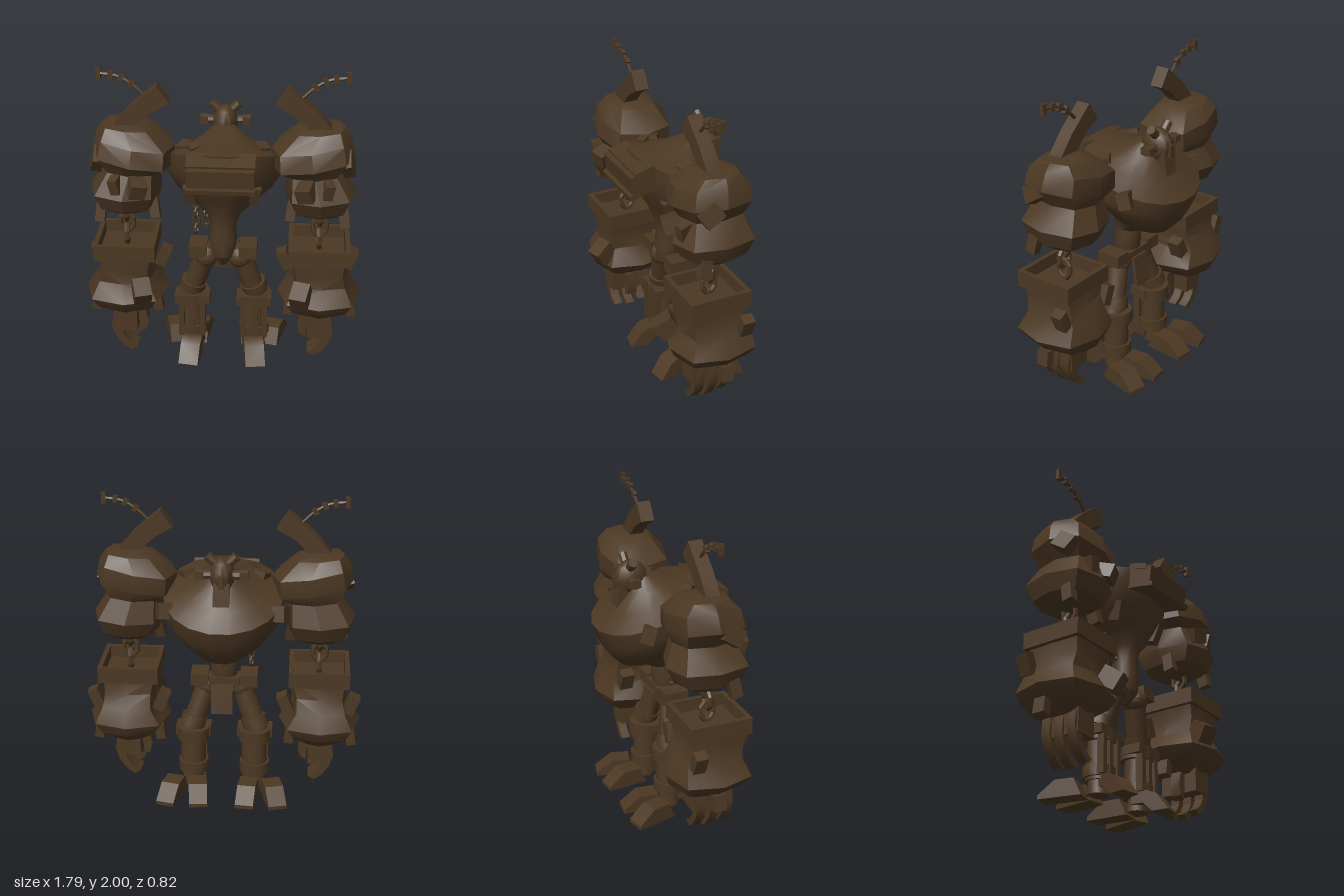
import * as THREE from 'three';
import { toCreasedNormals } from 'three/addons/utils/BufferGeometryUtils.js';

const bronze = new THREE.MeshStandardMaterial({ color: 0x4c3823 });
bronze.name = 'dark bronze';

// Adds a part with its transform baked into the geometry
function add(group, name, geo, pos = [0, 0, 0], rot = [0, 0, 0]) {
  const m = new THREE.Matrix4().makeRotationFromEuler(new THREE.Euler(...rot));
  m.setPosition(...pos);
  const g = toCreasedNormals(geo.applyMatrix4(m), 0.55);
  const mesh = new THREE.Mesh(g, bronze);
  mesh.name = name;
  group.add(mesh);
}
const box = (w, h, d) => new THREE.BoxGeometry(w, h, d);
const cyl = (r0, r1, h, n = 12) => new THREE.CylinderGeometry(r0, r1, h, n);

// Mirrors a whole side across x, keeping faces outward
function mirrored(group, name) {
  const out = new THREE.Group();
  out.name = name;
  for (const mesh of group.children) {
    const g = mesh.geometry.clone().scale(-1, 1, 1);
    for (const a of [g.attributes.position, g.attributes.normal]) {
      for (let i = 0; i < a.count; i += 3) {
        const p = [a.getX(i), a.getY(i), a.getZ(i)];
        a.setXYZ(i, a.getX(i + 1), a.getY(i + 1), a.getZ(i + 1));
        a.setXYZ(i + 1, ...p);
      }
    }
    g.deleteAttribute('uv');
    const copy = new THREE.Mesh(g, bronze);
    copy.name = mesh.name;
    out.add(copy);
  }
  return out;
}

// Closed loft, rings upward: [y, cx, cz, rx, rz, slopeX, slopeZ, roundness]
function loft(rings, n, roundness = 1) {
  const pos = [], idx = [];
  const pw = (v, e) => Math.abs(v) < 1e-6 ? 0 : Math.sign(v) * Math.pow(Math.abs(v), e);
  for (const [y, cx, cz, rx, rz, sx = 0, sz = 0, e = roundness] of rings) {
    for (let j = 0; j < n; j++) {
      const t = (j / n) * Math.PI * 2;
      const x = rx * pw(Math.cos(t), e), z = rz * pw(Math.sin(t), e);
      pos.push(cx + x, y + x * sx + z * sz, cz + z);
    }
  }
  const last = rings.length - 1, c0 = pos.length / 3;
  for (const r of [rings[0], rings[last]]) pos.push(r[1], r[0], r[2]);
  for (let j = 0; j < n; j++) {
    const k = (j + 1) % n;
    for (let i = 0; i < last; i++) {
      const a = i * n + j, b = i * n + k;
      idx.push(a, a + n, b, b, a + n, b + n);
    }
    idx.push(c0, j, k, c0 + 1, last * n + k, last * n + j);
  }
  const g = new THREE.BufferGeometry();
  g.setAttribute('position', new THREE.Float32BufferAttribute(pos, 3));
  g.setIndex(idx);
  return g;
}

// Outline in the front plane, extruded around z = 0
function slab(points, depth) {
  const s = new THREE.Shape(points.map(p => new THREE.Vector2(...p)));
  return new THREE.ExtrudeGeometry(s, { depth, bevelEnabled: false }).translate(0, 0, -depth / 2);
}
// Straight rod between two points
function rod(group, name, a, b, r0, r1, n = 12) {
  const A = new THREE.Vector3(...a), d = new THREE.Vector3(...b).sub(A);
  const e = new THREE.Euler().setFromQuaternion(
    new THREE.Quaternion().setFromUnitVectors(new THREE.Vector3(0, 1, 0), d.clone().normalize()));
  add(group, name, cyl(r1, r0, d.length(), n), A.addScaledVector(d, 0.5).toArray(), [e.x, e.y, e.z]);
}
const link = (r, tube) => new THREE.TorusGeometry(r, tube, 6, 8).rotateZ(Math.PI / 8).scale(0.85, 1.15, 1);

function buildArm() {
  const g = new THREE.Group();
  g.name = 'leftArm';
  // Boxy octagonal shoulder shell, pinched in the middle, outer side raised
  add(g, 'shoulder', loft([
    [1.07, 0.61, 0.06, 0.11, 0.12],
    [1.12, 0.61, 0.06, 0.185, 0.205, 0.02],
    [1.22, 0.61, 0.06, 0.225, 0.255, 0.04],
    [1.36, 0.57, 0.055, 0.175, 0.195, 0.05],
    [1.43, 0.56, 0.06, 0.255, 0.235, 0.18],
    [1.54, 0.545, 0.05, 0.245, 0.22, 0.18],
    [1.63, 0.59, 0.045, 0.16, 0.145, 0.08],
    [1.65, 0.6, 0.045, 0.07, 0.08]], 8, 0.72));
  add(g, 'shoulderHorn', slab([[0.325, 1.795], [0.44, 1.73], [0.53, 1.64], [0.56, 1.55], [0.7, 1.55],
    [0.665, 1.65], [0.565, 1.765], [0.4, 1.905]], 0.09), [0, 0, 0.075]);
  // Thin notched antenna
  const curve = new THREE.CatmullRomCurve3([[0.47, 1.82], [0.555, 1.9], [0.645, 1.95], [0.755, 1.965]]
    .map(p => new THREE.Vector3(p[0], p[1], 0.075)));
  add(g, 'antenna', new THREE.TubeGeometry(curve, 12, 0.011, 6));
  for (const t of [0.35, 0.58, 0.78]) {
    const p = curve.getPoint(t), d = curve.getTangent(t);
    add(g, 'antennaNotch', box(0.03, 0.045, 0.025), p.toArray(), [0, 0, Math.atan2(d.y, d.x)]);
  }
  add(g, 'antennaTip', box(0.028, 0.07, 0.025), [0.755, 1.965, 0.075]);
  // Studs around the shoulder
  for (const [x, y, z, w, h, d, rx, ry, rz] of [
    [0.52, 1.3, 0.27, 0.1, 0.1, 0.12, 0.3, -0.3, 0.3], [0.65, 1.31, 0.25, 0.06, 0.1, 0.1, 0.2, 0.2, -0.2],
    [0.77, 1.44, 0.15, 0.07, 0.11, 0.13, 0.6, 0, 0.3], [0.76, 1.09, 0.18, 0.06, 0.12, 0.07, -0.2, 0, 0.12],
    [0.43, 1.1, 0.12, 0.06, 0.13, 0.07, -0.2, 0, -0.15]])
    add(g, 'shoulderStud', box(w, h, d), [x, y, z], [rx, ry, rz]);
  // Chain joining shoulder and forearm
  for (const [y, turn] of [[1.05, 1], [0.97, 0], [0.89, 1]])
    add(g, 'armChain', link(0.055, 0.018), [0.615, y, 0.075], [0, turn * Math.PI / 2, 0]);
  // Forearm with an open square collar
  const shape = new THREE.Shape([[-0.195, -0.2], [0.195, -0.2], [0.195, 0.2], [-0.195, 0.2]].map(p => new THREE.Vector2(...p)));
  shape.holes.push(new THREE.Path([[-0.165, -0.17], [-0.165, 0.17], [0.165, 0.17], [0.165, -0.17]].map(p => new THREE.Vector2(...p))));
  add(g, 'forearmCollar', new THREE.ExtrudeGeometry(shape, { depth: 0.105, bevelEnabled: false }),
    [0.615, 0.785, 0.085], [-Math.PI / 2, 0, 0]);
  add(g, 'forearm', loft([
    [0.355, 0.63, 0.06, 0.1, 0.14],
    [0.43, 0.625, 0.065, 0.215, 0.24],
    [0.5, 0.625, 0.07, 0.268, 0.272],
    [0.61, 0.63, 0.055, 0.185, 0.215, 0, 0, 0.5],
    [0.7, 0.62, 0.08, 0.16, 0.185, 0, 0, 0.25],
    [0.81, 0.615, 0.085, 0.17, 0.18, 0, 0, 0.1]], 8, 0.72));
  for (const [x, y, z, w, h, d, rx, ry, rz] of [
    [0.505, 0.59, 0.31, 0.11, 0.12, 0.13, 0.6, -0.25, 0.15], [0.4, 0.66, -0.06, 0.07, 0.13, 0.09, 0, 0, 0.4],
    [0.825, 0.67, -0.07, 0.07, 0.13, 0.08, 0, 0, -0.4], [0.43, 0.37, 0.06, 0.06, 0.1, 0.08, 0, 0, -0.15],
    [0.835, 0.37, 0.06, 0.06, 0.1, 0.08, 0, 0, 0.15]])
    add(g, 'forearmStud', box(w, h, d), [x, y, z], [rx, ry, rz]);
  // Hand with curled fingers and a thumb
  add(g, 'palm', box(0.15, 0.16, 0.26), [0.63, 0.31, 0.09]);
  [0.18, 0.09, 0].forEach((z, i) => add(g, 'finger', slab([[0.56, 0.09], [0.615, 0.125], [0.65, 0.18], [0.65, 0.27],
    [0.71, 0.35], [0.725, 0.25], [0.7, 0.17], [0.65, 0.1], [0.6, 0.065]], 0.06), [0, i === 1 ? 0 : 0.015, z]));
  add(g, 'thumb', slab([[0.51, 0.36], [0.58, 0.36], [0.55, 0.26], [0.545, 0.18], [0.505, 0.2], [0.49, 0.27]], 0.07), [0, 0, 0.1]);
  return g;
}

function buildLeg() {
  const g = new THREE.Group();
  g.name = 'leftLeg';
  add(g, 'hipBall', new THREE.SphereGeometry(0.083, 12, 8), [0.11, 0.73, 0.05]);
  add(g, 'hipGuard', box(0.115, 0.08, 0.16), [0.16, 0.785, 0.05]);
  rod(g, 'thigh', [0.11, 0.74, 0.05], [0.22, 0.42, 0], 0.07, 0.07);
  rod(g, 'thighBand', [0.192, 0.52, 0.015], [0.212, 0.45, 0], 0.085, 0.085);
  add(g, 'kneeRing', cyl(0.108, 0.108, 0.085), [0.203, 0.4, 0]);
  add(g, 'kneePlate', box(0.23, 0.06, 0.12), [0.203, 0.41, 0.04]);
  add(g, 'shin', cyl(0.078, 0.085, 0.28), [0.203, 0.25, 0]);
  for (const x of [0.135, 0.21, 0.275]) add(g, 'shinRail', box(0.035, 0.26, 0.05), [x, 0.265, 0.075]);
  add(g, 'ankleRing', cyl(0.1, 0.1, 0.07), [0.203, 0.165, 0]);
  add(g, 'ankle', cyl(0.06, 0.07, 0.12), [0.21, 0.085, 0]);
  // Two wedge toes ahead and a heel behind, side profile swung to face -z
  const toe = [[-0.02, 0], [0.26, 0], [0.26, 0.025], [0.15, 0.11], [0.03, 0.11]];
  for (const [x, turn] of [[0.175, 0.1], [0.305, -0.25]])
    add(g, 'toe', slab(toe, 0.12), [x, 0, -0.05], [0, Math.PI / 2 + turn, 0]);
  add(g, 'heel', slab([[0.08, 0.14], [0.15, 0.11], [0.23, 0], [0.12, 0], [0.06, 0.06], [-0.02, 0.06], [-0.02, 0.13]], 0.13),
    [0.19, 0, 0.02], [0, -Math.PI / 2 + 0.15, 0]);
  return g;
}

function buildBody() {
  const g = new THREE.Group();
  g.name = 'body';
  // Waist, tilted bowl chest with a banded rim, and a shallow concave top
  add(g, 'torso', loft([
    [0.67, 0, 0.06, 0.02, 0.02],
    [0.75, 0, 0.06, 0.075, 0.075],
    [0.86, 0, 0.055, 0.09, 0.085],
    [0.95, 0, 0.05, 0.08, 0.085, 0, 0.1],
    [1.02, 0, 0.015, 0.11, 0.135, 0, 0.3],
    [1.085, 0, -0.03, 0.2, 0.225, 0, 0.37],
    [1.18, 0, -0.035, 0.3, 0.29, 0, 0.37],
    [1.285, 0, -0.045, 0.37, 0.335, 0, 0.37],
    [1.4, 0, -0.06, 0.38, 0.358, 0, 0.37],
    [1.455, 0, -0.05, 0.27, 0.26, 0, 0.33],
    [1.51, 0, -0.07, 0.15, 0.15, 0, 0.22],
    [1.58, 0, -0.1, 0.06, 0.06, 0, 0.1]], 18));
  // Shallow vent tucked under the rear rim
  add(g, 'ventHousing', box(0.41, 0.14, 0.2), [0, 1.42, 0.29], [0.15, 0, 0]);
  add(g, 'ventLid', box(0.42, 0.035, 0.13), [0, 1.495, 0.3], [0.3, 0, 0]);
  add(g, 'ventLip', box(0.42, 0.03, 0.06), [0, 1.345, 0.375], [0.2, 0, 0]);
  // Head, brow bar and crown bolts
  add(g, 'neck', cyl(0.06, 0.1, 0.16), [0, 1.49, -0.12], [-0.5, 0, 0]);
  add(g, 'head', new THREE.SphereGeometry(0.11, 12, 8).scale(0.72, 1.02, 0.98), [0, 1.57, -0.175]);
  add(g, 'jaw', box(0.1, 0.15, 0.1), [0, 1.46, -0.225], [0.15, 0, 0]);
  add(g, 'nose', box(0.035, 0.08, 0.04), [0, 1.55, -0.27]);
  add(g, 'browBar', cyl(0.03, 0.03, 0.32, 8), [0, 1.575, -0.2], [0, 0, Math.PI / 2]);
  for (const s of [-1, 1]) {
    add(g, 'earCap', box(0.05, 0.045, 0.07), [s * 0.135, 1.575, -0.2]);
    add(g, 'crownBolt', cyl(0.03, 0.03, 0.08, 8), [s * 0.06, 1.665, -0.19], [0, 0, -s * 0.8]);
    add(g, 'chestStud', box(0.085, 0.1, 0.08), [s * 0.36, 1.33, -0.2], [0.3, s * 0.4, 0]);
    add(g, 'backStud', box(0.06, 0.13, 0.08), [s * 0.205, 1.22, 0.14], [0.3, 0, -s * 0.15]);
    add(g, 'topStud', box(0.08, 0.07, 0.08), [s * 0.235, 1.48, 0.05], [0.3, s * 0.5, -s * 0.3]);
  }
  add(g, 'topStud', box(0.06, 0.06, 0.06), [-0.18, 1.51, 0.14], [0.3, 0.6, 0]);
  // Pelvis and hanging flap
  add(g, 'pelvis', box(0.2, 0.09, 0.12), [0, 0.76, 0.03]);
  add(g, 'flap', box(0.14, 0.2, 0.02), [0.01, 0.67, -0.06], [0.15, 0, 0]);
  // Loose chains under the chest
  for (let i = 0; i < 4; i++)
    add(g, 'hangingChain', link(0.026, 0.009), [-0.175, 1.08 - i * 0.058, 0.03], [0, (i % 2) * 1.2, 0]);
  for (let i = 0; i < 2; i++)
    add(g, 'hangingChain', link(0.026, 0.009), [-0.11, 1.03 - i * 0.055, 0.05], [0, 1 - i, 0]);
  return g;
}

export function createModel() {
  const model = new THREE.Group();
  model.name = 'golem';
  const arm = buildArm(), leg = buildLeg();
  model.add(buildBody(), arm, leg, mirrored(arm, 'rightArm'), mirrored(leg, 'rightLeg'));
  return model;
}
